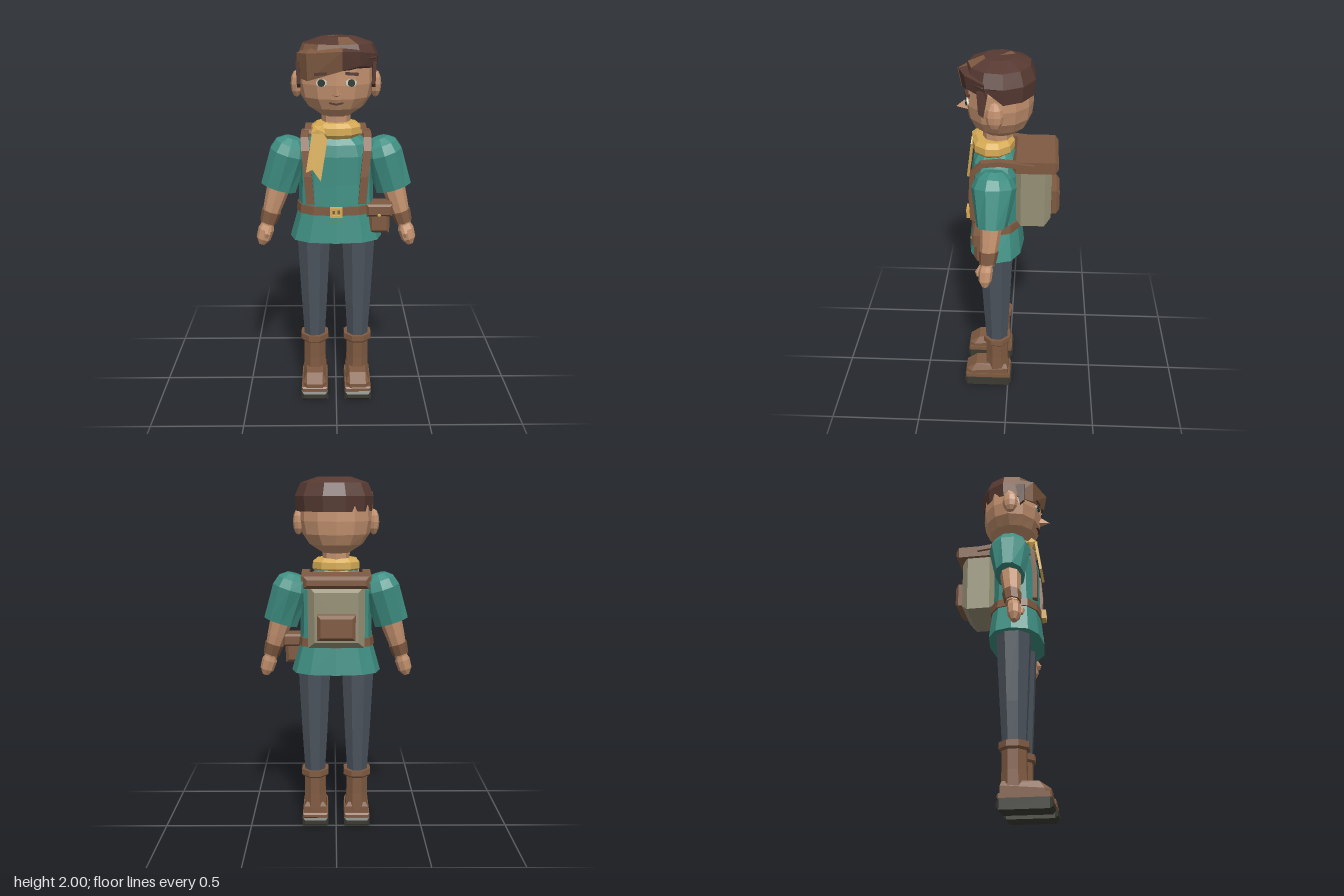
import * as THREE from 'three';
import { ConvexGeometry } from 'three/addons/geometries/ConvexGeometry.js';

const colours = {
  tunicTeal: 0x3f8f83, skin: 0xc4926f, leather: 0x7f5a41, darkHair: 0x573a32, mustard: 0xd6ab55,
  trouserGrey: 0x4b535c, canvas: 0x959075, soleBlack: 0x3b3b32, eyeWhite: 0xd8d2c0, eyeDark: 0x2f3a35,
};

export function createModel() {
  const model = new THREE.Group();
  model.name = 'traveller';
  const M = {};
  for (const [name, color] of Object.entries(colours)) {
    M[name] = new THREE.MeshStandardMaterial({ color });
    M[name].name = name;
  }

  // Adds a faceted mesh
  function add(name, geo, mat, pos = [0, 0, 0], parent = model) {
    const g = geo.index ? geo.toNonIndexed() : geo;
    g.computeVertexNormals();
    const mesh = new THREE.Mesh(g, mat);
    mesh.name = name;
    mesh.position.set(...pos);
    parent.add(mesh);
    return mesh;
  }

  // Stacked rings [y, rx, rz, x, z] from bottom to top, with end caps.
  // power < 1 makes the section boxier; pick chooses a material per facet.
  function loft(rings, sides = 8, { power = 1, phase = 0, pick = null, warp = null } = {}) {
    const bend = (v) => Math.sign(v) * Math.pow(Math.abs(v), power);
    const rows = rings.map(([y, rx, rz, x = 0, z = 0], r) =>
      Array.from({ length: sides }, (_, i) => {
        const a = ((i + phase) / sides) * Math.PI * 2;
        const p = new THREE.Vector3(x + rx * bend(Math.sin(a)), y, z + rz * bend(Math.cos(a)));
        if (warp) warp(p, r);
        return p;
      }));
    const centre = (row) => row.reduce((s, p) => s.add(p), new THREE.Vector3()).divideScalar(sides);
    const low = centre(rows[0]), high = centre(rows[rows.length - 1]);
    const pts = [], geo = new THREE.BufferGeometry();
    const face = (r, i, ...list) => {
      if (pick) geo.addGroup(pts.length, list.length, pick(r, i));
      pts.push(...list);
    };
    for (let i = 0; i < sides; i++) {
      const j = (i + 1) % sides;
      face(-1, i, low, rows[0][j], rows[0][i]);
      for (let r = 0; r + 1 < rows.length; r++) {
        const [a, b, c, d] = [rows[r][i], rows[r][j], rows[r + 1][j], rows[r + 1][i]];
        face(r, i, a, b, c, a, c, d);
      }
      const top = rows[rows.length - 1];
      face(rows.length - 1, i, high, top[i], top[j]);
    }
    return geo.setFromPoints(pts);
  }

  // Box with bevelled edges, centred on its origin
  function chamferBox(w, h, d, c) {
    const x = w / 2 - c, y = h / 2 - c;
    const shape = new THREE.Shape([[-x, -y], [x, -y], [x, y], [-x, y]].map((p) => new THREE.Vector2(...p)));
    return new THREE.ExtrudeGeometry(shape, {
      depth: d - 2 * c, bevelEnabled: true, bevelSize: c, bevelThickness: c, bevelSegments: 1,
    }).translate(0, 0, c - d / 2);
  }
  const hull = (pts) => new ConvexGeometry(pts.map((p) => new THREE.Vector3(...p)));

  // Flat strap following a path, wide along x
  function strap(name, path, w, t, mat) {
    const group = new THREE.Group();
    group.name = name;
    const P = path.map((p) => new THREE.Vector3(...p));
    const sections = P.map((p, i) => {
      const tangent = P[Math.min(i + 1, P.length - 1)].clone().sub(P[Math.max(i - 1, 0)]);
      const n = tangent.cross(new THREE.Vector3(1, 0, 0)).normalize().multiplyScalar(t / 2);
      return [-w / 2, w / 2].flatMap((x) => [1, -1].map((k) => [p.x + x, p.y + n.y * k, p.z + n.z * k]));
    });
    for (let i = 0; i + 1 < P.length; i++) add(name + 'Piece', hull([...sections[i], ...sections[i + 1]]), mat, [0, 0, 0], group);
    model.add(group);
  }

  // Tunic, belt and buckle
  const Z = 0.067;
  add('tunic', loft([[0.935, 0.25, 0.152], [1.1, 0.203, 0.134], [1.25, 0.198, 0.13],
    [1.4, 0.2, 0.13], [1.46, 0.175, 0.118], [1.51, 0.1, 0.085]], 12, { power: 0.8 }), M.tunicTeal, [0, 0, Z]);
  add('belt', loft([[1.088, 0.214, 0.144], [1.134, 0.208, 0.143]], 12, { power: 0.8 }), M.leather, [0, 0, Z]);
  const frame = new THREE.Shape([[-1, -1], [1, -1], [1, 1], [-1, 1]].map(([x, y]) => new THREE.Vector2(x * 0.033, y * 0.027)));
  frame.holes.push(new THREE.Path([[-1, -1], [-1, 1], [1, 1], [1, -1]].map(([x, y]) => new THREE.Vector2(x * 0.019, y * 0.014))));
  add('buckle', new THREE.ExtrudeGeometry(frame, { depth: 0.025, bevelEnabled: false }), M.mustard, [0, 1.111, 0.208]);
  add('bucklePin', new THREE.BoxGeometry(0.012, 0.034, 0.01), M.mustard, [0, 1.111, 0.22]);

  // Belt pouch
  add('pouch', chamferBox(0.112, 0.13, 0.115, 0.018), M.leather, [0.23, 1.04, 0.115]);
  add('pouchFlap', chamferBox(0.138, 0.068, 0.135, 0.012), M.leather, [0.23, 1.106, 0.115]);
  add('pouchStud', new THREE.IcosahedronGeometry(0.011), M.mustard, [0.228, 1.082, 0.184]);

  // Limbs
  for (const s of [1, -1]) {
    const side = s > 0 ? 'left' : 'right';
    add(side + 'TrouserLeg', loft([[0.3, 0.06, 0.064], [0.55, 0.076, 0.078], [0.96, 0.097, 0.099]], 8, { phase: 0.5 }),
      M.trouserGrey, [s * 0.122, 0, 0.065]);

    const boot = new THREE.Group();
    boot.name = side + 'Boot';
    boot.position.x = s * 0.122;
    model.add(boot);
    add('sole', chamferBox(0.152, 0.056, 0.28, 0.016), M.soleBlack, [0, 0.028, 0.12], boot);
    add('welt', chamferBox(0.146, 0.03, 0.268, 0.008), M.leather, [0, 0.066, 0.12], boot);
    const foot = [];
    for (const k of [-1, 1]) {
      foot.push([k * 0.066, 0.06, 0], [k * 0.066, 0.12, 0], [k * 0.05, 0.145, 0.01], [k * 0.066, 0.06, 0.225],
        [k * 0.045, 0.06, 0.25], [k * 0.045, 0.1, 0.25], [k * 0.066, 0.1, 0.22], [k * 0.045, 0.142, 0.19]);
    }
    add('foot', hull(foot), M.leather, [0, 0, 0], boot);
    add('shaft', loft([[0.1, 0.07, 0.073], [0.2, 0.066, 0.068], [0.32, 0.066, 0.068]], 8, { phase: 0.5 }), M.leather, [0, 0, 0.065], boot);
    add('cuff', loft([[0.302, 0.076, 0.076], [0.312, 0.084, 0.084], [0.345, 0.083, 0.083]], 8, { phase: 0.5 }), M.leather, [0, 0, 0.065], boot);

    // Arm hangs along its own tilted axis
    const arm = new THREE.Group();
    arm.name = side + 'Arm';
    arm.position.set(s * 0.245, 1.42, 0.065);
    arm.rotation.z = s * 0.3;
    model.add(arm);
    add('sleeve', loft([[-0.22, 0.1, 0.08, 0, 0.008], [-0.02, 0.105, 0.115], [0.03, 0.088, 0.092], [0.062, 0.045, 0.05]], 10),
      M.tunicTeal, [0, 0, 0], arm);
    add('forearm', loft([[-0.43, 0.038, 0.036, 0, 0.03], [-0.3, 0.054, 0.05, 0, 0.018], [-0.2, 0.064, 0.058, 0, 0.01]]),
      M.skin, [0, 0, 0], arm);
    add('bracer', loft([[-0.42, 0.046, 0.044, 0, 0.03], [-0.355, 0.054, 0.051, 0, 0.023]]), M.leather, [0, 0, 0], arm);
    add('hand', loft([[-0.548, 0.018, 0.016, 0, 0.042], [-0.515, 0.039, 0.034, 0, 0.042],
      [-0.46, 0.043, 0.037, 0, 0.038], [-0.41, 0.027, 0.026, 0, 0.032]]), M.skin, [0, 0, 0], arm);
    add('thumb', loft([[-0.495, 0.009, 0.01], [-0.47, 0.017, 0.018], [-0.43, 0.012, 0.013, 0, -0.02]], 6), M.skin, [-s * 0.012, 0, 0.077], arm);

    // Pack straps
    strap(side + 'PackStrap', [[s * 0.137, 1.15, 0.186], [s * 0.148, 1.3, 0.19], [s * 0.16, 1.43, 0.18],
      [s * 0.164, 1.485, 0.13], [s * 0.165, 1.495, 0.04], [s * 0.165, 1.475, -0.135]], 0.042, 0.026, M.leather);
  }

  // Backpack
  add('backpack', chamferBox(0.3, 0.335, 0.195, 0.035), M.canvas, [0, 1.282, -0.13]);
  add('backpackLid', chamferBox(0.34, 0.064, 0.235, 0.018), M.leather, [0, 1.468, -0.142]);
  add('backpackPocket', chamferBox(0.2, 0.135, 0.06, 0.018), M.leather, [0, 1.233, -0.242]);

  // Neck and scarf
  add('neck', loft([[1.48, 0.075, 0.075], [1.63, 0.075, 0.075]]), M.skin, [0, 0, 0.06]);
  add('scarf', loft([[1.492, 0.115, 0.098], [1.512, 0.136, 0.112], [1.548, 0.134, 0.111], [1.57, 0.105, 0.09]], 10),
    M.mustard, [0, 0, 0.08]);
  const knot = add('scarfKnot', new THREE.IcosahedronGeometry(0.045), M.mustard, [-0.092, 1.525, 0.17]);
  knot.scale.set(1, 0.95, 0.8);
  const tail = new THREE.Shape([[-0.03, 0.02], [-0.062, -0.18], [-0.028, -0.165], [0.015, -0.225], [0.05, -0.01], [0.03, 0.02]]
    .map((p) => new THREE.Vector2(...p)));
  add('scarfTail', new THREE.ExtrudeGeometry(tail, { depth: 0.014, bevelEnabled: false }), M.mustard, [-0.095, 1.505, 0.19])
    .rotation.x = -0.14;

  // Head and face
  add('head', loft([[1.6, 0.075, 0.085], [1.645, 0.145, 0.138], [1.7, 0.182, 0.163], [1.77, 0.197, 0.172],
    [1.85, 0.193, 0.17], [1.94, 0.15, 0.13]], 12), M.skin, [0, 0, 0.045]);
  add('nose', hull([[0, 1.775, 0.21], [-0.026, 1.722, 0.2], [0.026, 1.722, 0.2], [0, 1.728, 0.268], [0, 1.712, 0.2]]), M.skin);
  for (const s of [1, -1]) {
    const side = s > 0 ? 'left' : 'right';
    add(side + 'Ear', new THREE.SphereGeometry(1, 8, 6), M.skin, [s * 0.205, 1.762, 0.06]).scale.set(0.03, 0.07, 0.045);
    const eye = new THREE.Group();
    eye.name = side + 'Eye';
    eye.position.set(s * 0.074, 1.784, 0.203);
    eye.rotation.y = s * 0.22;
    model.add(eye);
    const disc = (r, d) => new THREE.CylinderGeometry(r, r, d, 10).rotateX(Math.PI / 2);
    add('eyeWhite', disc(0.029, 0.009), M.eyeWhite, [0, 0, 0], eye).scale.y = 0.65;
    add('iris', disc(0.019, 0.009), M.eyeDark, [0, 0, 0.005], eye);
    const brow = add(side + 'Eyebrow', new THREE.BoxGeometry(0.064, 0.014, 0.02), M.darkHair, [s * 0.078, 1.828, 0.202]);
    brow.rotation.set(0, s * 0.22, -s * 0.1);
    add(side + 'Sideburn', hull([0.185, 0.204].flatMap((x) =>
      [[s * x, 1.88, 0.09], [s * x, 1.88, 0.145], [s * x * 0.98, 1.75, 0.115], [s * x * 0.98, 1.77, 0.14]])), M.darkHair);
    add(side + 'MouthHalf', new THREE.BoxGeometry(0.038, 0.008, 0.012), M.darkHair, [s * 0.017, 1.679, 0.199])
      .rotation.set(0, s * 0.25, s * 0.16);
  }

  // Hair cap with lighter facets; its front edge rises towards the left
  const light = ['0,8', '0,9', '1,8', '1,9', '1,10', '2,0', '3,6'];
  add('hair', loft([[1.82, 0.204, 0.176], [1.9, 0.213, 0.184], [1.968, 0.183, 0.158], [2, 0.09, 0.08]], 11, {
    pick: (r, i) => (light.includes(r + ',' + i) ? 1 : 0),
    warp: (p, r) => { if (r === 0 && p.z > 0.07) p.y = 1.855 + 0.2 * p.x; },
  }), [M.darkHair, M.leather], [0.01, 0, 0.043]);
  add('fringeSweep', hull([[-0.2, 1.92, 0.09], [-0.203, 1.8, 0.09], [-0.145, 1.79, 0.185], [-0.15, 1.925, 0.19],
    [0.03, 1.845, 0.232], [0.03, 1.94, 0.25], [-0.1, 1.975, 0.1], [0.03, 1.985, 0.12]]), M.leather);
  add('fringeSide', hull([[0.03, 1.845, 0.23], [0.03, 1.94, 0.247], [0.12, 1.865, 0.2], [0.12, 1.935, 0.21],
    [0.205, 1.85, 0.1], [0.21, 1.92, 0.11], [0.03, 1.975, 0.12]]), M.darkHair);

  return model;
}
